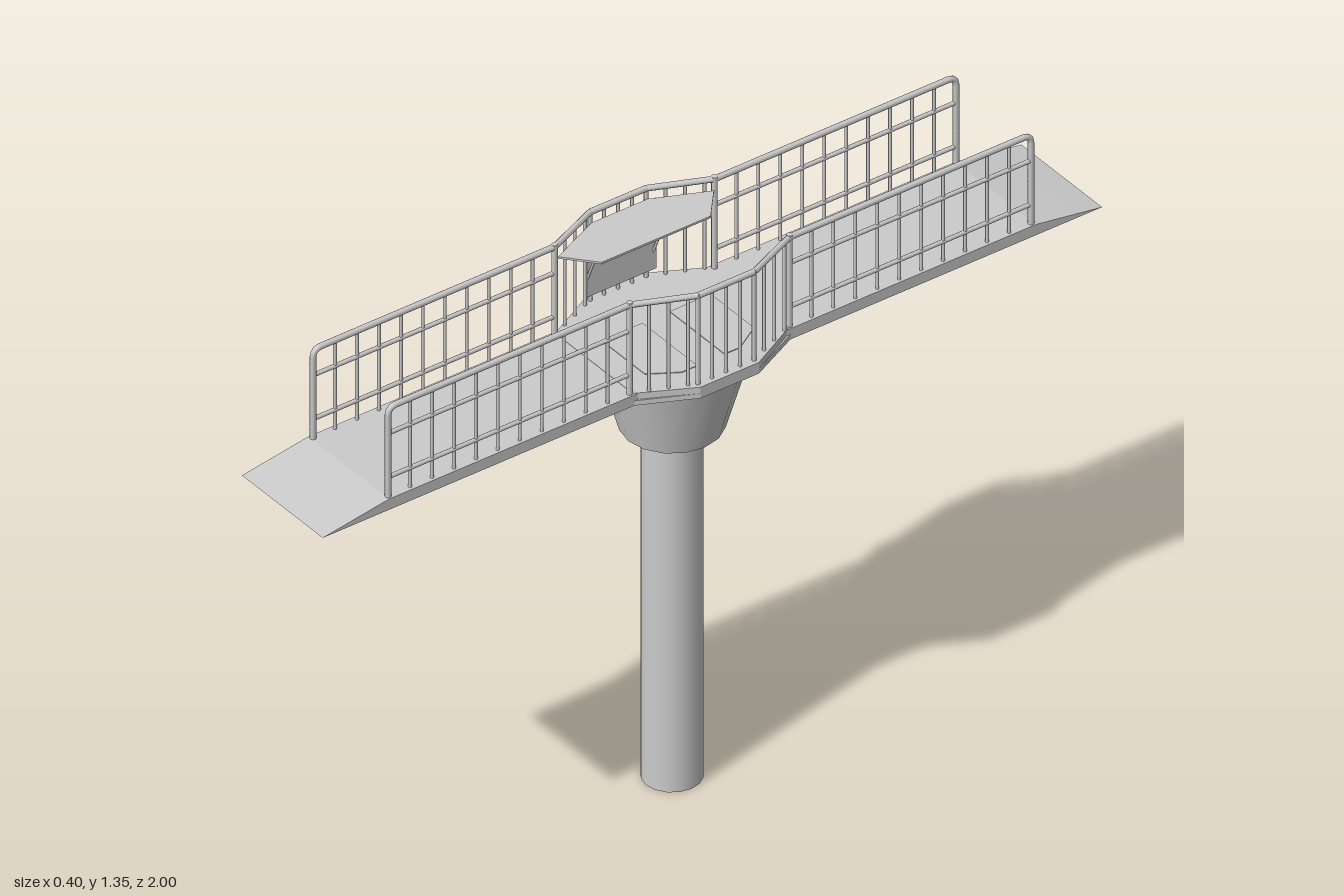
import * as THREE from 'three';

const mat = new THREE.MeshStandardMaterial({ color: 0xcccccc });
const thinMat = new THREE.MeshStandardMaterial({ color: 0xcccccc, side: THREE.DoubleSide });
const V = (x, y, z) => new THREE.Vector3(x, y, z);
const BOTTOM = 1.09, MID = 1.102, TOP = 1.117, RAIL = 1.34;
const HALF = 0.14; // half width of the walkway

const toShape = pts => new THREE.Shape(pts.map(p => new THREE.Vector2(p[0], p[1])));

export function createModel() {
  const model = new THREE.Group();

  function add(parent, name, geometry, material = mat) {
    const mesh = new THREE.Mesh(geometry, material);
    mesh.name = name;
    parent.add(mesh);
    return mesh;
  }

  // plan outline [x, z] raised from y0 to y1
  function slab(parent, name, pts, y0, y1, holes = []) {
    const shape = toShape(pts.map(([x, z]) => [x, -z]));
    holes.forEach(h => shape.holes.push(toShape(h.map(([x, z]) => [x, -z]))));
    const g = new THREE.ExtrudeGeometry(shape, { depth: y1 - y0, bevelEnabled: false });
    g.rotateX(-Math.PI / 2).translate(0, y0, 0);
    return add(parent, name, g);
  }

  // side profile [z, y] swept across the walkway
  function sweep(parent, name, pts) {
    const g = new THREE.ExtrudeGeometry(toShape(pts), { depth: 2 * HALF, bevelEnabled: false });
    g.rotateY(-Math.PI / 2).translate(HALF, 0, 0);
    return add(parent, name, g);
  }

  // round bar between two points
  function bar(parent, name, a, b, r) {
    const d = b.clone().sub(a);
    const mesh = add(parent, name, new THREE.CylinderGeometry(r, r, d.length(), 8));
    mesh.position.copy(a).add(b).multiplyScalar(0.5);
    mesh.quaternion.setFromUnitVectors(V(0, 1, 0), d.normalize());
    return mesh;
  }

  // Column and flared head
  add(model, 'column', new THREE.CylinderGeometry(0.066, 0.066, 0.89, 16, 1, true), thinMat).position.y = 0.445;
  add(model, 'columnHead', new THREE.CylinderGeometry(0.17, 0.112, BOTTOM - 0.885, 16)).position.y = (BOTTOM + 0.885) / 2;

  // Deck: lower layer with pockets underneath, upper layer, tapered ends
  const deck = new THREE.Group();
  deck.name = 'deck';
  model.add(deck);
  const end = 0.925, px = 0.12;
  const quarter = [[0.2, 0.075], [HALF, 0.2], [HALF, end]];
  const outline = [
    ...quarter,
    ...quarter.map(([x, z]) => [-x, z]).reverse(),
    ...quarter.map(([x, z]) => [-x, -z]),
    ...quarter.map(([x, z]) => [x, -z]).reverse(),
  ];
  const pockets = [];
  for (const s of [1, -1]) {
    for (const [a, b] of [[0.24, 0.66], [0.7, 0.88]]) {
      pockets.push([[-px, s * a], [px, s * a], [px, s * b], [-px, s * b]]);
    }
  }
  slab(deck, 'deckFrame', outline, BOTTOM, MID, pockets);
  sweep(deck, 'walkway', [[-end, MID], [end, MID], [0.83, TOP], [-0.83, TOP]]);
  for (const s of [1, -1]) {
    sweep(deck, 'rampTip', [[s * end, BOTTOM], [s, BOTTOM], [s * end, MID]]);
  }
  slab(deck, 'platform', [
    [0.2, 0.075], [0.135, 0.2], [-0.135, 0.2], [-0.2, 0.075],
    [-0.2, -0.075], [-0.135, -0.2], [0.135, -0.2], [0.2, -0.075],
  ], MID, TOP + 0.001);

  // Floor plates in the middle of the platform
  for (const s of [1, -1]) {
    slab(model, 'floorPlate', [
      [-0.055, 0.035 * s], [0.135, 0.035 * s], [0.135, 0.075 * s], [0.095, 0.14 * s], [-0.055, 0.14 * s],
    ], TOP, TOP + 0.003);
  }

  // Straight railings along the four walkway edges
  for (const sx of [1, -1]) {
    for (const sz of [1, -1]) {
      const rail = new THREE.Group();
      rail.name = 'walkwayRailing';
      model.add(rail);
      const x = 0.13 * sx, z0 = 0.205, z1 = 0.825, c = 0.02;
      const path = new THREE.CurvePath();
      path.add(new THREE.LineCurve3(V(x, RAIL, sz * z0), V(x, RAIL, sz * (z1 - c))));
      path.add(new THREE.QuadraticBezierCurve3(V(x, RAIL, sz * (z1 - c)), V(x, RAIL, sz * z1), V(x, RAIL - c, sz * z1)));
      path.add(new THREE.LineCurve3(V(x, RAIL - c, sz * z1), V(x, TOP, sz * z1)));
      add(rail, 'handrail', new THREE.TubeGeometry(path, 90, 0.007, 8));
      bar(rail, 'innerPost', V(x, TOP, sz * z0), V(x, RAIL + 0.007, sz * z0), 0.007);
      for (const y of [1.275, 1.165]) {
        bar(rail, 'midRail', V(x, y, sz * z0), V(x, y, sz * z1), 0.005);
      }
      for (let i = 1; i <= 10; i++) {
        const z = sz * (z0 + (z1 - z0) * i / 11);
        bar(rail, 'baluster', V(x, TOP, z), V(x, RAIL, z), 0.004);
      }
    }
  }

  // Angled railings around the platform
  for (const s of [1, -1]) {
    const rail = new THREE.Group();
    rail.name = 'platformRailing';
    model.add(rail);
    const pts = [[0.13, 0.205], [0.187, 0.072], [0.187, -0.072], [0.13, -0.205]];
    for (let k = 0; k < 3; k++) {
      const [ax, az] = pts[k], [bx, bz] = pts[k + 1];
      bar(rail, 'handrail', V(s * ax, RAIL, az), V(s * bx, RAIL, bz), 0.007);
      for (let i = 1; i <= 3; i++) {
        const t = i / (k === 1 ? 4 : 3.5);
        const x = s * (ax + (bx - ax) * t), z = az + (bz - az) * t;
        bar(rail, 'baluster', V(x, TOP, z), V(x, RAIL, z), 0.004);
      }
    }
    for (const z of [0.072, -0.072]) {
      bar(rail, 'cornerPost', V(s * 0.187, TOP, z), V(s * 0.187, RAIL, z), 0.005);
    }
  }

  // Wall shelf with back panel and braces
  const shelf = new THREE.Group();
  shelf.name = 'shelf';
  model.add(shelf);
  slab(shelf, 'shelfTop', [
    [-0.055, 0.14], [-0.125, 0.2], [-0.182, 0.072], [-0.182, -0.072], [-0.125, -0.2], [-0.055, -0.14],
  ], 1.311, 1.316);
  add(shelf, 'backPanel', new THREE.BoxGeometry(0.004, 0.175, 0.185)).position.set(-0.18, 1.2235, 0);
  for (const z of [0.085, -0.085]) {
    bar(shelf, 'brace', V(-0.18, 1.18, z), V(-0.125, 1.312, z), 0.003);
  }

  return model;
}
